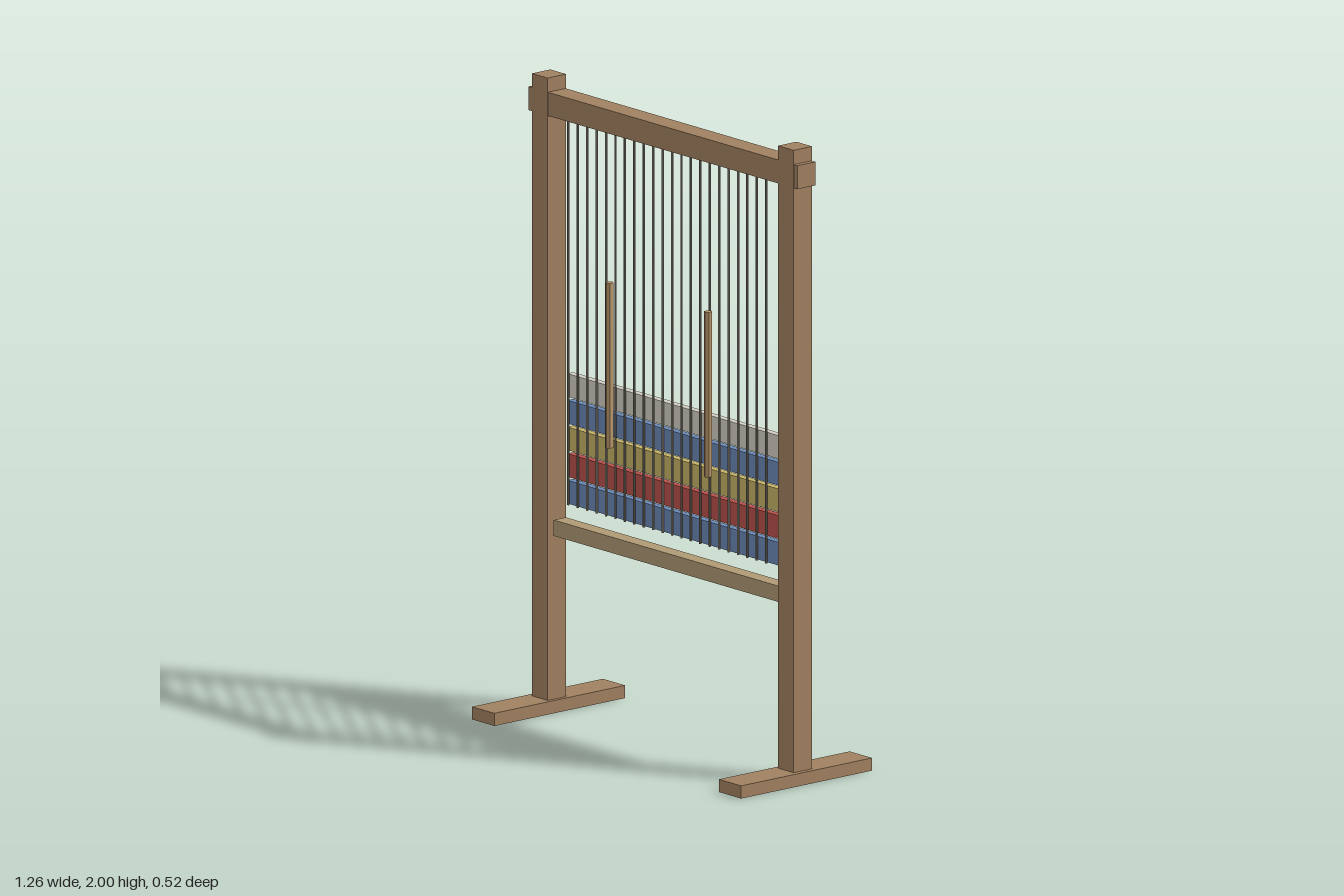
import * as THREE from 'three';

const paint = (color) => new THREE.MeshStandardMaterial({ color, flatShading: true });

export function createModel() {
  const loom = new THREE.Group();
  loom.name = 'weavingLoom';
  const wood = paint(0xa08060);
  const paleWood = paint(0xb09a74);
  const stickWood = paint(0xb8956a);
  const thread = paint(0x8f8a7c);

  const add = (name, geometry, material, x, y, z) => {
    const mesh = new THREE.Mesh(geometry, material);
    mesh.name = name;
    mesh.position.set(x, y, z);
    loom.add(mesh);
  };
  const box = (name, material, [w, h, d], [x, y, z]) =>
    add(name, new THREE.BoxGeometry(w, h, d), material, x, y, z);

  // Uprights on long feet, with a round-sectioned stick hung on each side
  for (const [side, s] of [['left', 1], ['right', -1]]) {
    box(side + 'Foot', wood, [0.105, 0.04, 0.524], [s * 0.58, 0.02, 0]);
    box(side + 'Post', wood, [0.074, 1.96, 0.074], [s * 0.578, 1.02, 0]);
    add(side + 'Stick', new THREE.CylinderGeometry(0.013, 0.013, 0.52, 6), stickWood, s * 0.232, 1.16, 0.053);
  }

  // Crossbars
  box('topBeam', wood, [1.265, 0.074, 0.072], [0, 1.918, 0]);
  box('lowerBar', paleWood, [1.054, 0.05, 0.05], [0, 0.584, 0]);

  // Warp threads
  const warp = new THREE.CylinderGeometry(0.004, 0.004, 1.22, 6);
  for (let i = 0; i < 22; i++) add('warpThread', warp, thread, -0.487 + i * 0.0443, 1.27, 0);

  // Woven bands, bottom to top
  [0x6b8ab8, 0xb8504a, 0xc8b468, 0x6b8ab8, 0xd4d0c4].forEach((color, i) =>
    box('wovenBand', paint(color), [1, 0.073, 0.024], [0, 0.698 + i * 0.084, -0.018]));

  return loom;
}
